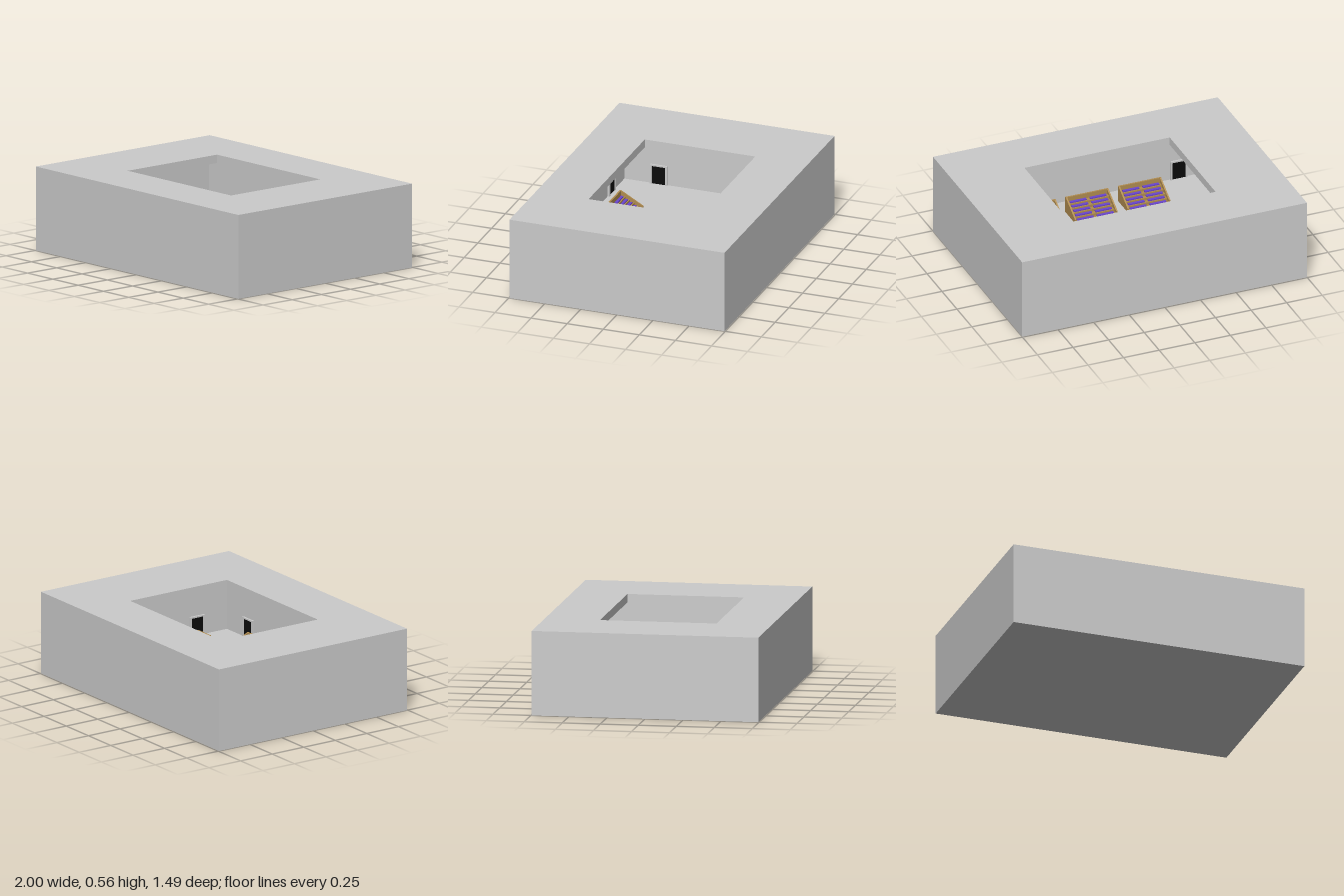
import * as THREE from 'three';

const paint = (color) => new THREE.MeshStandardMaterial({ color });
const grey = paint(0xcccccc), pale = paint(0xefefef), black = paint(0x0a0a0a);
const wood = paint(0xb08c50), purple = paint(0x6a45d0);

const W = 2, D = 1.49, H = 0.555, T = 0.055, FLOOR = 0.05;

// Box given by its min and max corners
function box(parent, name, mat, [x0, y0, z0], [x1, y1, z1]) {
  const m = new THREE.Mesh(new THREE.BoxGeometry(x1 - x0, y1 - y0, z1 - z0), mat);
  m.position.set((x0 + x1) / 2, (y0 + y1) / 2, (z0 + z1) / 2);
  m.name = name;
  parent.add(m);
  return m;
}

// Outline in (z, y) pulled along x, centred on x
function sidePrism(parent, name, mat, points, x, width) {
  const shape = new THREE.Shape(points.map(([z, y]) => new THREE.Vector2(z, y)));
  const geo = new THREE.ExtrudeGeometry(shape, { depth: width, bevelEnabled: false });
  geo.translate(0, 0, -width / 2).rotateY(-Math.PI / 2);
  const m = new THREE.Mesh(geo, mat);
  m.position.x = x;
  m.name = name;
  parent.add(m);
}

// Stepped seating block facing +z, with two columns of seats
function seatingBlock() {
  const g = new THREE.Group();
  g.name = 'seatingBlock';
  const back = -0.56, front = -0.395, rows = 5, width = 0.30;
  const low = FLOOR + 0.012, rise = 0.017, run = (front - back - 0.015) / rows;
  const steps = [[back, FLOOR], [front, FLOOR]];
  for (let i = 0; i < rows; i++) {
    const y = low + i * rise, z = front - i * run;
    steps.push([z, y], [z - run, y]);
    for (const s of [-1, 1]) {
      const cx = s * 0.07;
      box(g, 'seatRow', purple, [cx - 0.057, y, z - run * 0.95], [cx + 0.057, y + 0.008, z - run * 0.3]);
    }
  }
  steps.push([back, low + (rows - 1) * rise]);
  sidePrism(g, 'steps', wood, steps, 0, width - 0.02);
  // Sloping side panels and back panel
  const panel = [[back, FLOOR], [front, FLOOR], [front, 0.08], [back + 0.012, 0.165], [back, 0.165]];
  for (const s of [-1, 1]) sidePrism(g, 'sidePanel', wood, panel, s * (width / 2 - 0.005), 0.01);
  box(g, 'backPanel', wood, [-width / 2 + 0.01, FLOOR, back], [width / 2 - 0.01, 0.165, back + 0.012]);
  return g;
}

// Doorway with a frame, standing on the floor and facing +z
function doorway() {
  const g = new THREE.Group();
  g.name = 'doorway';
  const w = 0.053, h = 0.125;
  box(g, 'doorOpening', black, [-w, 0, 0], [w, h, 0.006]);
  for (const s of [-1, 1]) box(g, 'doorJamb', grey, [s * w - 0.006, 0, 0], [s * w + 0.006, h, 0.014]);
  box(g, 'doorLintel', grey, [-w - 0.006, h, 0], [w + 0.006, h + 0.01, 0.014]);
  return g;
}

export function createModel() {
  const model = new THREE.Group();
  model.name = 'arena';
  const x = W / 2, z = D / 2, xi = x - T, zi = z - T, top = H - T;

  // Base, floor and outer walls
  box(model, 'base', grey, [-x, 0, -z], [x, 0.04, z]);
  box(model, 'floor', pale, [-xi, 0.04, -zi], [xi, FLOOR, zi]);
  for (const s of [-1, 1]) {
    const wx = s * (x - T / 2), wz = s * (z - T / 2);
    box(model, 'endWall', grey, [wx - T / 2, 0.04, -z], [wx + T / 2, top, z]);
    box(model, 'longWall', grey, [-xi, 0.04, wz - T / 2], [xi, top, wz + T / 2]);
  }

  // Roof with a rectangular opening
  const rect = (C, a, b) => new C([[-a, -b], [a, -b], [a, b], [-a, b]].map((p) => new THREE.Vector2(...p)));
  const roofShape = rect(THREE.Shape, x, z);
  roofShape.holes.push(rect(THREE.Path, 0.51, 0.383));
  const roofGeo = new THREE.ExtrudeGeometry(roofShape, { depth: T, bevelEnabled: false });
  const roof = new THREE.Mesh(roofGeo.rotateX(-Math.PI / 2), grey);
  roof.position.y = top;
  roof.name = 'roof';
  model.add(roof);

  // Two identical long sides, turned to face each other
  for (const turn of [0, Math.PI]) {
    const side = new THREE.Group();
    side.name = 'longSide';
    side.rotation.y = turn;
    box(side, 'walkway', grey, [-0.53, FLOOR, -0.57], [0.53, FLOOR + 0.004, -0.337]);
    for (const cx of [-0.37, 0, 0.37]) {
      const block = seatingBlock();
      block.position.x = cx;
      side.add(block);
    }
    // Doors in the long wall and in the adjoining end walls
    for (const s of [-1, 1]) {
      const door = doorway();
      door.position.set(s * 0.7, FLOOR, -zi);
      const endDoor = doorway();
      endDoor.position.set(s * xi, FLOOR, -0.45);
      endDoor.rotation.y = -s * Math.PI / 2;
      side.add(door, endDoor);
    }
    model.add(side);
  }

  // Low wooden stage at the left end
  box(model, 'stage', wood, [0.74, FLOOR, -0.42], [0.88, 0.11, 0.42]);
  return model;
}
